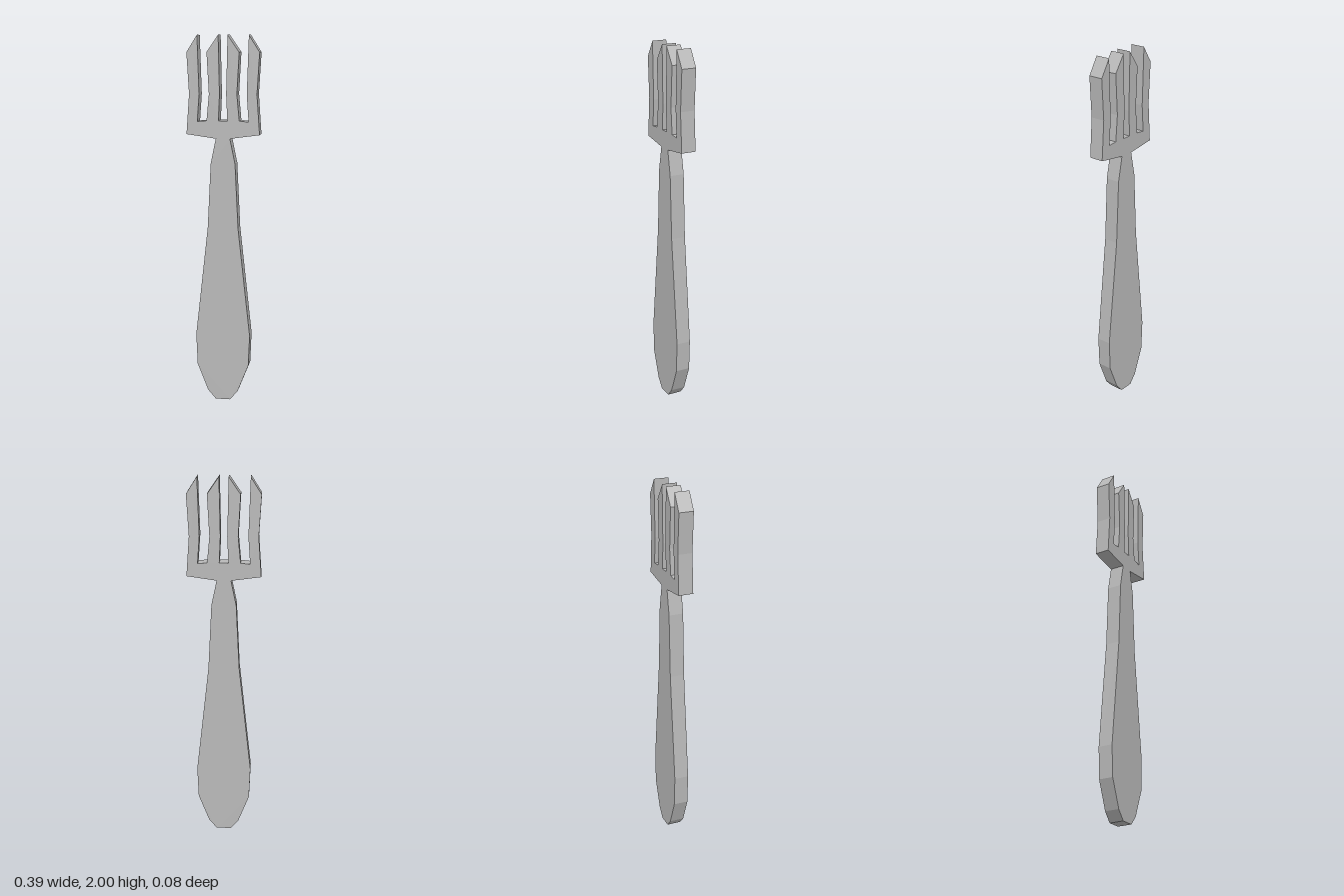
import * as THREE from 'three';

const DEPTH = 0.08;

// Right half of each outline; the left half is mirrored from it.
const HANDLE = [
  [0.04, 0], [0.083, 0.05], [0.142, 0.2], [0.149, 0.37],
  [0.083, 0.97], [0.066, 1.32], [0.038, 1.455],
];
const HEAD = [
  [0.038, 1.455], [0.197, 1.477], // shoulder
  [0.182, 1.69], [0.195, 1.91], [0.138, 2], [0.128, 1.69], [0.138, 1.545], // outer tine
  [0.088, 1.55], [0.075, 1.69], [0.087, 1.91], [0.025, 2], [0.018, 1.69], [0.024, 1.55], // inner tine
];

function mirroredPlate(name, half, material) {
  const left = half.map(([x, y]) => [-x, y]).reverse();
  const shape = new THREE.Shape([...half, ...left].map(([x, y]) => new THREE.Vector2(x, y)));
  const geometry = new THREE.ExtrudeGeometry(shape, { depth: DEPTH, bevelEnabled: false });
  geometry.translate(0, 0, -DEPTH / 2);
  const mesh = new THREE.Mesh(geometry, material);
  mesh.name = name;
  return mesh;
}

export function createModel() {
  const group = new THREE.Group();
  group.name = 'fork';
  const metal = new THREE.MeshStandardMaterial({ color: 0xb8b8b8 });
  metal.name = 'grey metal';
  // Paddle-shaped handle, then the shoulder with its four pointed tines
  group.add(mirroredPlate('handle', HANDLE, metal));
  group.add(mirroredPlate('tinedHead', HEAD, metal));
  return group;
}
